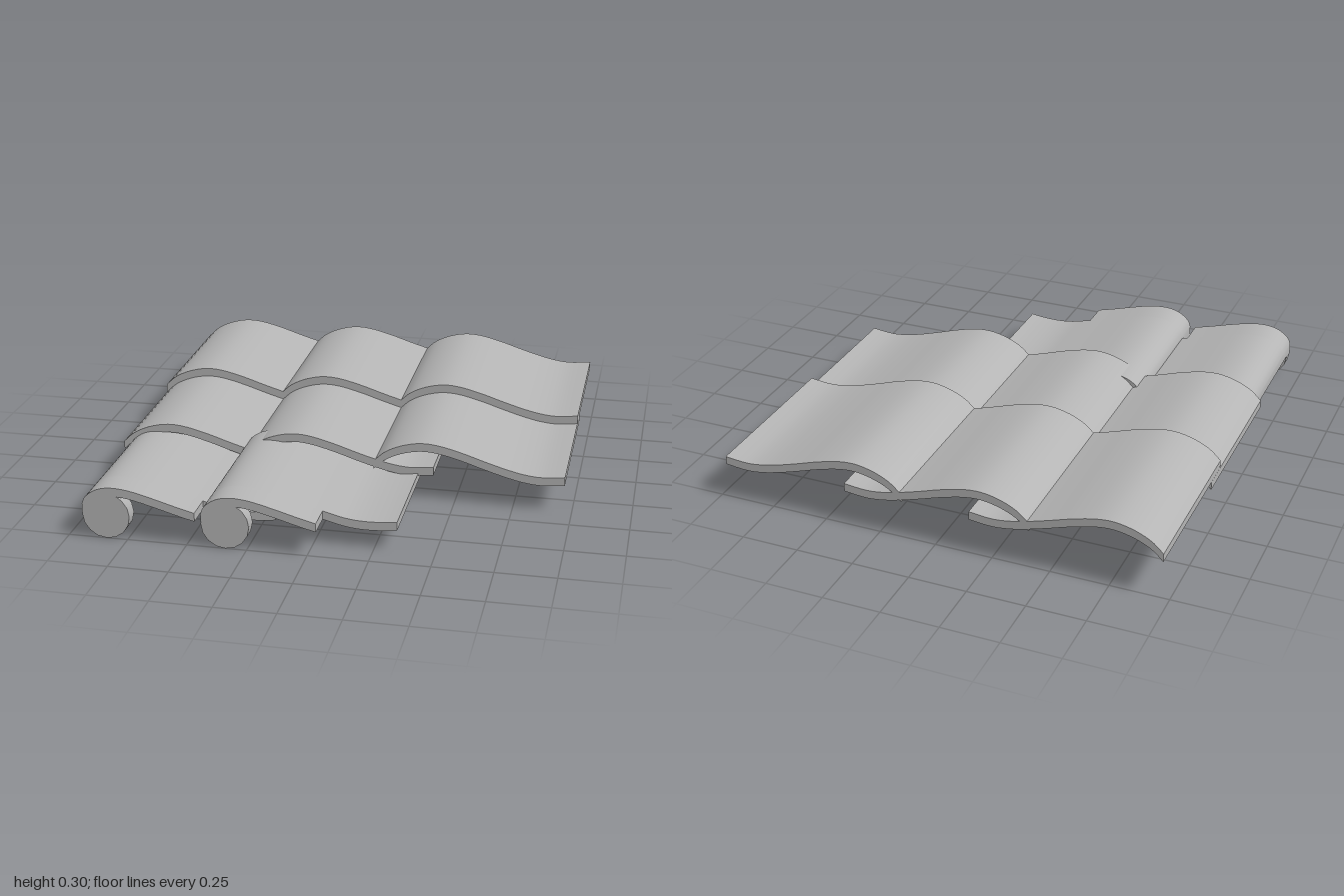
import * as THREE from 'three';
import { toCreasedNormals } from 'three/addons/utils/BufferGeometryUtils.js';

const THICKNESS = 0.037;

// Top line of a tile's wave, as [x from the left edge, y]
const FIELD_WAVE = [[0, 0.205], [0.05, 0.25], [0.12, 0.283], [0.2, 0.3], [0.28, 0.295], [0.38, 0.27],
  [0.47, 0.241], [0.56, 0.214], [0.64, 0.195], [0.72, 0.187], [0.817, 0.196]];
const EAVE_WAVE = [[0, 0.145], [0.015, 0.178], [0.06, 0.211], [0.12, 0.225], [0.2, 0.219], [0.3, 0.194],
  [0.4, 0.165], [0.5, 0.139], [0.57, 0.122], [0.64, 0.115], [0.72, 0.117], [0.78, 0.124]];

// Curved slab: the wave, given a thickness and run along z
function slab(wave, zBack, zFront, maxX = 9) {
  const curve = new THREE.SplineCurve(wave.map(([x, y]) => new THREE.Vector2(x, y)));
  const top = curve.getPoints(36).filter((p) => p.x <= maxX + 1e-3);
  const under = top.map((p) => new THREE.Vector2(p.x, p.y - THICKNESS)).reverse();
  const geometry = new THREE.ExtrudeGeometry(new THREE.Shape([...top, ...under]),
    { depth: zFront - zBack, bevelEnabled: false });
  geometry.translate(0, 0, zBack);
  return toCreasedNormals(geometry, Math.PI / 5);
}

export function createModel() {
  const model = new THREE.Group();
  const clay = new THREE.MeshStandardMaterial({ color: 0xb4b4b4 });
  clay.name = 'grey clay';

  const add = (name, geometry, parent, x = 0, y = 0, z = 0) => {
    const mesh = new THREE.Mesh(geometry, clay);
    mesh.name = name;
    mesh.position.set(x, y, z);
    parent.add(mesh);
  };

  // Two upper courses of three overlapping tiles
  const field = slab(FIELD_WAVE, -0.373, 0.373);
  const courses = [['backTile', 0, -0.625], ['middleTile', -0.0375, 0]];
  for (const [name, y, z] of courses) {
    for (let i = 0; i < 3; i++) add(name, field, model, -0.967 + i * 0.558, y, z);
  }

  // Eave course: two tiles with a notched trough and a round end cap
  const body = slab(EAVE_WAVE, 0.258, 0.875);
  const lip = slab(EAVE_WAVE, 0.875, 1, 0.5);
  const cap = new THREE.CylinderGeometry(0.1, 0.1, 0.06, 16).rotateX(Math.PI / 2);
  const capGeometry = toCreasedNormals(cap, Math.PI / 5);
  for (let i = 0; i < 2; i++) {
    const tile = new THREE.Group();
    tile.name = 'eaveTile';
    tile.position.x = -0.938 + i * 0.5;
    add('eaveTileBody', body, tile);
    add('eaveTileLip', lip, tile);
    add('roundEndCap', capGeometry, tile, 0.1, 0.102, 0.97);
    model.add(tile);
  }

  model.position.y = -0.002;
  return model;
}
